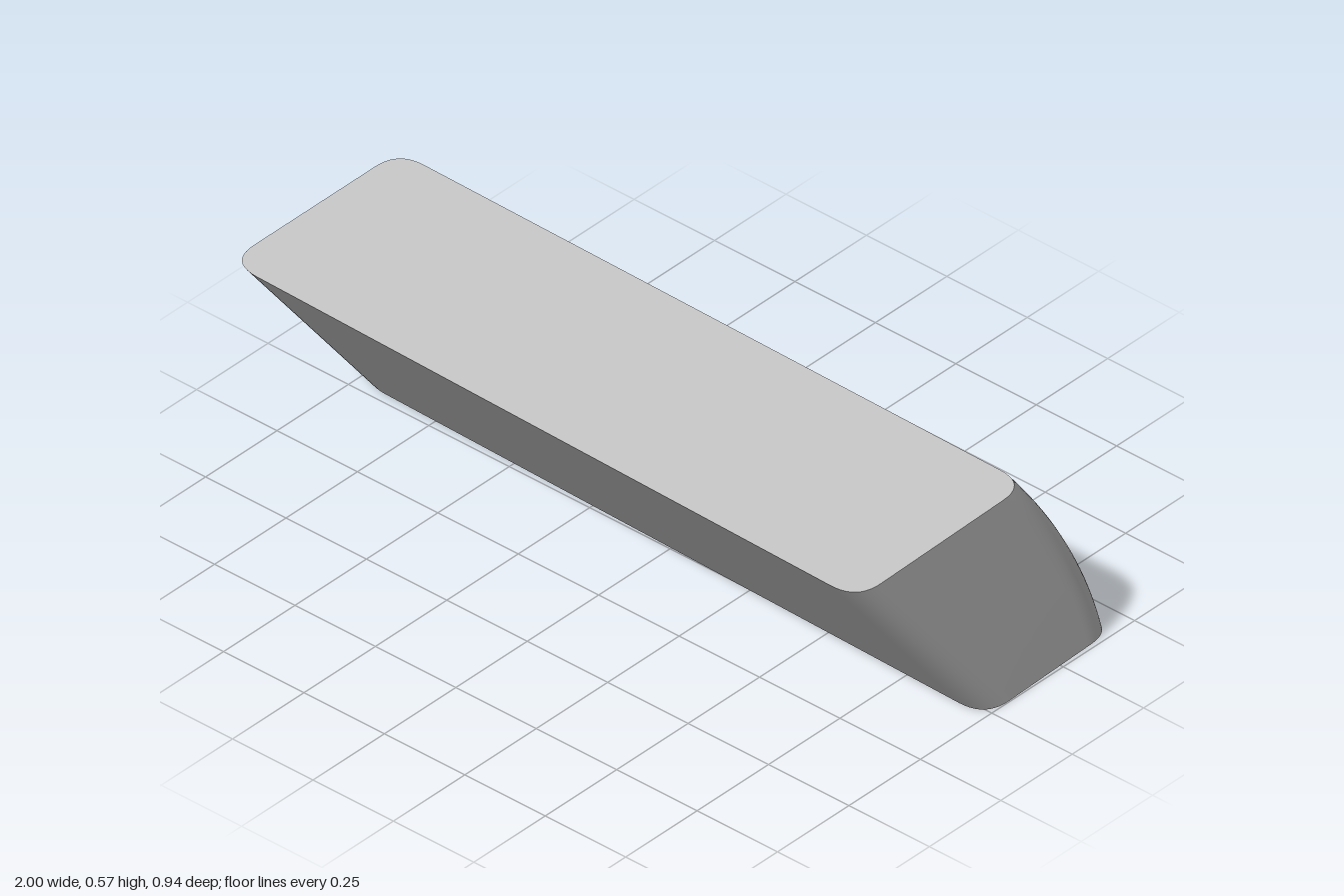
import * as THREE from 'three';

const HEIGHT = 0.57;
const LEVELS = 20;
const CORNER_STEPS = 10;

// Rounded four-sided outline at height fraction t, counter-clockwise seen from above
function section(t) {
  const front = 0.022 + 0.45 * t;
  const back = -0.475 + 0.3 * t + 0.15 * t * (t - 1);
  const corners = [
    [-1, front - 0.052, 0.09],
    [1, front, 0.085],
    [0.985, back + 0.028 + 0.007 * t, 0.085],
    [-1, back, 0.08],
  ].map(([x, z, cut]) => ({ p: new THREE.Vector3(x, t * HEIGHT, z), cut }));

  const points = [];
  corners.forEach(({ p, cut }, i) => {
    const toward = (q) => q.clone().sub(p).setLength(cut).add(p);
    const start = toward(corners[(i + 3) % 4].p);
    const end = toward(corners[(i + 1) % 4].p);
    // extra points keep the straight sides flat next to the rounding
    points.push(start.clone().lerp(corners[(i + 3) % 4].p, 0.03));
    points.push(...new THREE.QuadraticBezierCurve3(start, p, end).getPoints(CORNER_STEPS));
    points.push(end.clone().lerp(corners[(i + 1) % 4].p, 0.03));
  });
  return points;
}

function buildGeometry(points, index) {
  const geometry = new THREE.BufferGeometry().setFromPoints(points);
  geometry.setIndex(index);
  geometry.computeVertexNormals();
  return geometry;
}

// Slanted front, curved back and both ends, lofted through the outlines
function wallGeometry() {
  const points = [];
  const index = [];
  const n = section(0).length;
  for (let j = 0; j <= LEVELS; j++) points.push(...section(j / LEVELS));
  for (let j = 0; j < LEVELS; j++) {
    for (let i = 0; i < n; i++) {
      const a = j * n + i;
      const b = j * n + ((i + 1) % n);
      index.push(a, b, b + n, a, b + n, a + n);
    }
  }
  return buildGeometry(points, index);
}

// Flat cap fanned from its centre
function capGeometry(t) {
  const outline = section(t);
  const n = outline.length;
  const centre = new THREE.Vector3();
  outline.forEach((p) => centre.addScaledVector(p, 1 / n));
  const index = [];
  for (let i = 0; i < n; i++) {
    const next = (i + 1) % n;
    if (t > 0) index.push(n, i, next);
    else index.push(n, next, i);
  }
  return buildGeometry([...outline, centre], index);
}

export function createModel() {
  const group = new THREE.Group();
  group.name = 'slantedBlock';
  const material = new THREE.MeshStandardMaterial({ color: 0xcccccc });
  const add = (name, geometry) => {
    const mesh = new THREE.Mesh(geometry, material);
    mesh.name = name;
    group.add(mesh);
  };
  add('sideWalls', wallGeometry());
  add('topFace', capGeometry(1));
  add('bottomFace', capGeometry(0));
  return group;
}
